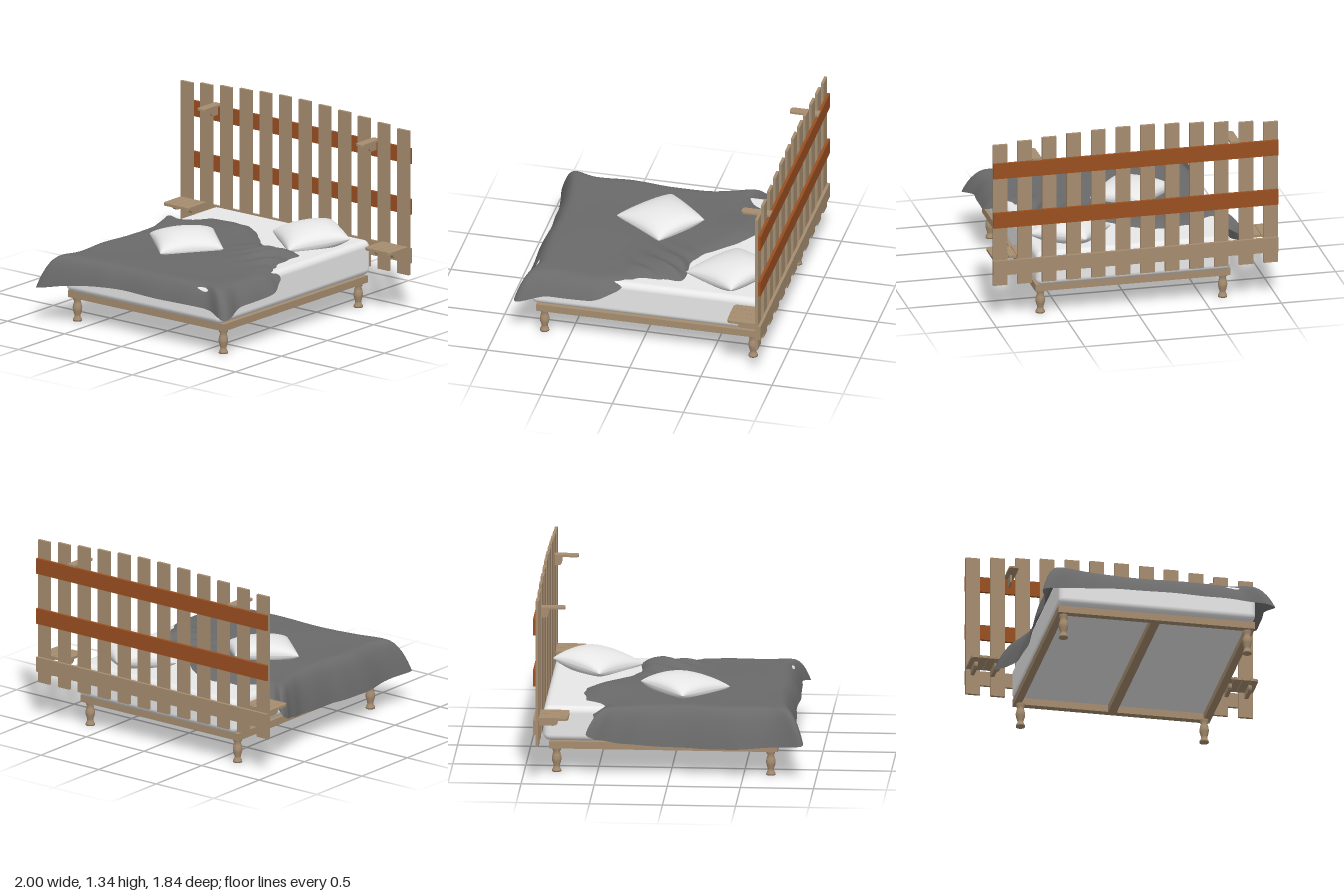
import * as THREE from 'three';
import { RoundedBoxGeometry } from 'three/addons/geometries/RoundedBoxGeometry.js';

const mat = (name, color, side = THREE.FrontSide) => {
  const m = new THREE.MeshStandardMaterial({ color, side });
  m.name = name;
  return m;
};

export function createModel() {
  const root = new THREE.Group();
  root.name = 'bed';
  const wood = mat('light wood', 0xa68d70);
  const rust = mat('rust brown wood', 0x9a4f20);
  const white = mat('white linen', 0xf4f4f4);
  const grey = mat('grey cloth', 0x6a6a6a, THREE.DoubleSide);

  const add = (name, geo, material, x = 0, y = 0, z = 0) => {
    const m = new THREE.Mesh(geo, material);
    m.name = name;
    m.position.set(x, y, z);
    root.add(m);
  };
  // Box given by its limits on each axis
  const box = (name, material, x0, x1, y0, y1, z0, z1) =>
    add(name, new THREE.BoxGeometry(x1 - x0, y1 - y0, z1 - z0), material,
      (x0 + x1) / 2, (y0 + y1) / 2, (z0 + z1) / 2);

  // Headboard: arched row of slats with rails behind
  for (let i = 0; i < 12; i++) {
    const x = -0.95 + i * 1.9 / 11;
    const top = 1.345 - 0.06 * Math.pow(Math.abs(x), 1.5);
    box('headboardSlat', wood, x - 0.05, x + 0.05, 0.265, top, -0.9, -0.88);
  }
  box('lowerRail', wood, -1, 1, 0.345, 0.45, -0.92, -0.9);
  box('middleRail', rust, -1, 1, 0.69, 0.8, -0.92, -0.9);
  box('upperRail', rust, -1, 1, 1.05, 1.16, -0.92, -0.9);

  // Flat plank running forward, with rounded front corners
  const plank = (w, d, t, rl, rr) => {
    const s = new THREE.Shape();
    s.moveTo(-w / 2, 0);
    s.lineTo(w / 2, 0);
    s.lineTo(w / 2, d - rr);
    s.quadraticCurveTo(w / 2, d, w / 2 - rr, d);
    s.lineTo(-w / 2 + rl, d);
    s.quadraticCurveTo(-w / 2, d, -w / 2, d - rl);
    return new THREE.ExtrudeGeometry(s, { depth: t, bevelEnabled: false, curveSegments: 8 })
      .rotateX(Math.PI / 2);
  };
  // Upright bracket with a rounded lower front corner
  const bracket = (d, h, t, r) => {
    const s = new THREE.Shape();
    s.moveTo(0, 0);
    s.lineTo(0, -h);
    s.lineTo(d - r, -h);
    s.quadraticCurveTo(d, -h, d, -h + r);
    s.lineTo(d, 0);
    return new THREE.ExtrudeGeometry(s, { depth: t, bevelEnabled: false, curveSegments: 8 })
      .rotateY(-Math.PI / 2).translate(t / 2, 0, 0);
  };
  for (const s of [-1, 1]) {
    // Slatted bedside shelf
    for (let i = 0; i < 4; i++) {
      add('bedsideShelfSlat', plank(0.054, 0.2, 0.018, i === 0 ? 0.03 : 0.004, i === 3 ? 0.03 : 0.004),
        wood, s * 0.885 + (i - 1.5) * 0.0575, 0.467, -0.88);
    }
    for (const o of [-0.07, 0.07])
      add('bedsideShelfBracket', bracket(0.13, 0.045, 0.025, 0.035), wood, s * 0.885 + o, 0.45, -0.88);
    // Small upper shelf passing between the slats
    add('upperShelf', plank(0.066, 0.205, 0.014, 0.025, 0.025), wood, s * 0.695, 1.177, -0.92);
    add('upperShelfBracket', bracket(0.07, 0.065, 0.014, 0.03), wood, s * 0.695, 1.163, -0.9);
  }

  // Bed frame
  for (const s of [-1, 1])
    box('sideRail', wood, s * 0.66 - 0.025, s * 0.66 + 0.025, 0.17, 0.22, -0.83, 0.735);
  box('footRail', wood, -0.64, 0.64, 0.17, 0.22, 0.685, 0.735);
  box('headRail', wood, -0.64, 0.64, 0.17, 0.22, -0.83, -0.78);
  box('centreBeam', wood, -0.03, 0.03, 0.17, 0.22, -0.78, 0.685);

  // Turned legs
  const legProfile = [[0, 0], [0.032, 0], [0.031, 0.012], [0.021, 0.03], [0.022, 0.045], [0.031, 0.075],
    [0.033, 0.095], [0.028, 0.12], [0.022, 0.14], [0.03, 0.152], [0.03, 0.172]]
    .map(([r, y]) => new THREE.Vector2(r, y));
  for (const x of [-0.64, 0.64])
    for (const z of [-0.78, 0.685])
      add('leg', new THREE.LatheGeometry(legProfile, 20), wood, x, 0, z);

  add('mattress', new RoundedBoxGeometry(1.37, 0.245, 1.645, 5, 0.045), white, 0, 0.3425, -0.0475);

  // Geometry from a grid of points: rows of n, optionally wrapped around
  const meshFromRows = (rows, wrap) => {
    const n = rows[0].length, pos = rows.flat(2), idx = [];
    for (let r = 0; r + 1 < rows.length; r++)
      for (let i = 0; i < (wrap ? n : n - 1); i++) {
        const j = (i + 1) % n, a = r * n + i, b = r * n + j, c = a + n, d = b + n;
        idx.push(a, d, c, a, b, d);
      }
    const g = new THREE.BufferGeometry();
    g.setAttribute('position', new THREE.Float32BufferAttribute(pos, 3));
    g.setIndex(idx);
    g.computeVertexNormals();
    return g;
  };

  // Duvet: hem outline as x, hem height, z, filled with rings from the middle
  const hem = [
    [-0.87, 0.31, -0.56], [-0.72, 0.4, -0.52], [-0.5, 0.465, -0.58], [-0.29, 0.465, -0.61],
    [-0.15, 0.465, -0.585], [0.03, 0.465, -0.45], [0.165, 0.465, -0.32], [0.3, 0.465, -0.26],
    [0.54, 0.465, -0.26], [0.56, 0.465, -0.11], [0.61, 0.465, 0.08], [0.715, 0.42, 0.16],
    [0.78, 0.36, 0.32], [0.765, 0.34, 0.64], [0.795, 0.29, 0.865], [0.62, 0.33, 0.825],
    [0.245, 0.335, 0.84], [-0.235, 0.335, 0.835], [-0.555, 0.3, 0.865], [-0.82, 0.25, 0.905],
    [-0.78, 0.23, 0.75], [-0.795, 0.21, 0.4], [-0.765, 0.21, 0.13], [-0.78, 0.23, -0.24],
    [-0.84, 0.27, -0.45],
  ].map(p => new THREE.Vector3(...p));
  const hemCurve = new THREE.CatmullRomCurve3(hem, true, 'centripetal');
  const N = 200, mid = [-0.08, 0.2];
  const ringT = [0.01, 0.15, 0.3, 0.45, 0.55, 0.64, 0.7, 0.75, 0.79, 0.83, 0.86, 0.89, 0.915, 0.94, 0.96, 0.975, 0.99, 1];
  const bump = (x, z, cx, cz, r) => Math.exp(-((x - cx) ** 2 + (z - cz) ** 2) / (r * r));
  const duvetRows = ringT.map(t => Array.from({ length: N }, (_, i) => {
    const e = hemCurve.getPoint(i / N);
    const ripple = 1 + 0.03 * Math.sin(i * Math.PI * 0.28) * Math.max(0, t - 0.8);
    const x = mid[0] + (e.x - mid[0]) * t * ripple;
    const z = mid[1] + (e.z - mid[1]) * t * ripple;
    const bunch = bump(x, z, 0.44, -0.1, 0.22);
    const top = 0.48 + 0.004 * Math.sin(7 * x + 3 * z) * Math.sin(5 * z)
      + bunch * (0.035 + 0.02 * Math.sin(38 * x + 24 * z)) + 0.015 * bump(x, z, -0.2, -0.5, 0.2);
    const u = Math.min(1, Math.max(0, (t - 0.79) / 0.21));
    return [x, e.y + (top - e.y) * (1 - Math.pow(u, 2.5)), z];
  }));
  add('duvet', meshFromRows(duvetRows.map(r => r.reverse()).reverse(), true), grey);

  // Pillow between four corners, thickest in the middle, with drawn-in edges
  const pillow = (name, corners, half) => {
    const [A, B, C, D] = corners.map(c => new THREE.Vector3(...c));
    const M = 24;
    for (const s of [1, -1]) {
      const rows = [];
      for (let r = 0; r <= M; r++) {
        const row = [];
        for (let c = 0; c <= M; c++) {
          const u = Math.sin((c / M - 0.5) * Math.PI), v = Math.sin((r / M - 0.5) * Math.PI);
          const h = half * Math.pow(Math.max(0, (1 - u * u) * (1 - v * v)), 0.42);
          const pu = u * (1 - 0.03 * (1 - v * v)), pv = v * (1 - 0.03 * (1 - u * u));
          const p = A.clone().lerp(B, (pu + 1) / 2).lerp(D.clone().lerp(C, (pu + 1) / 2), (pv + 1) / 2);
          row.push([p.x, p.y + s * h, p.z]);
        }
        rows.push(s > 0 ? row.reverse() : row);
      }
      add(name, meshFromRows(rows, false), white);
    }
  };
  pillow('cushion', [[-0.19, 0.525, -0.235], [0.1, 0.49, 0.015], [-0.165, 0.49, 0.375], [-0.505, 0.505, 0.07]], 0.088);
  pillow('pillow', [[0.34, 0.535, -0.87], [0.685, 0.52, -0.635], [0.445, 0.478, -0.26], [0.085, 0.495, -0.535]], 0.092);

  return root;
}
